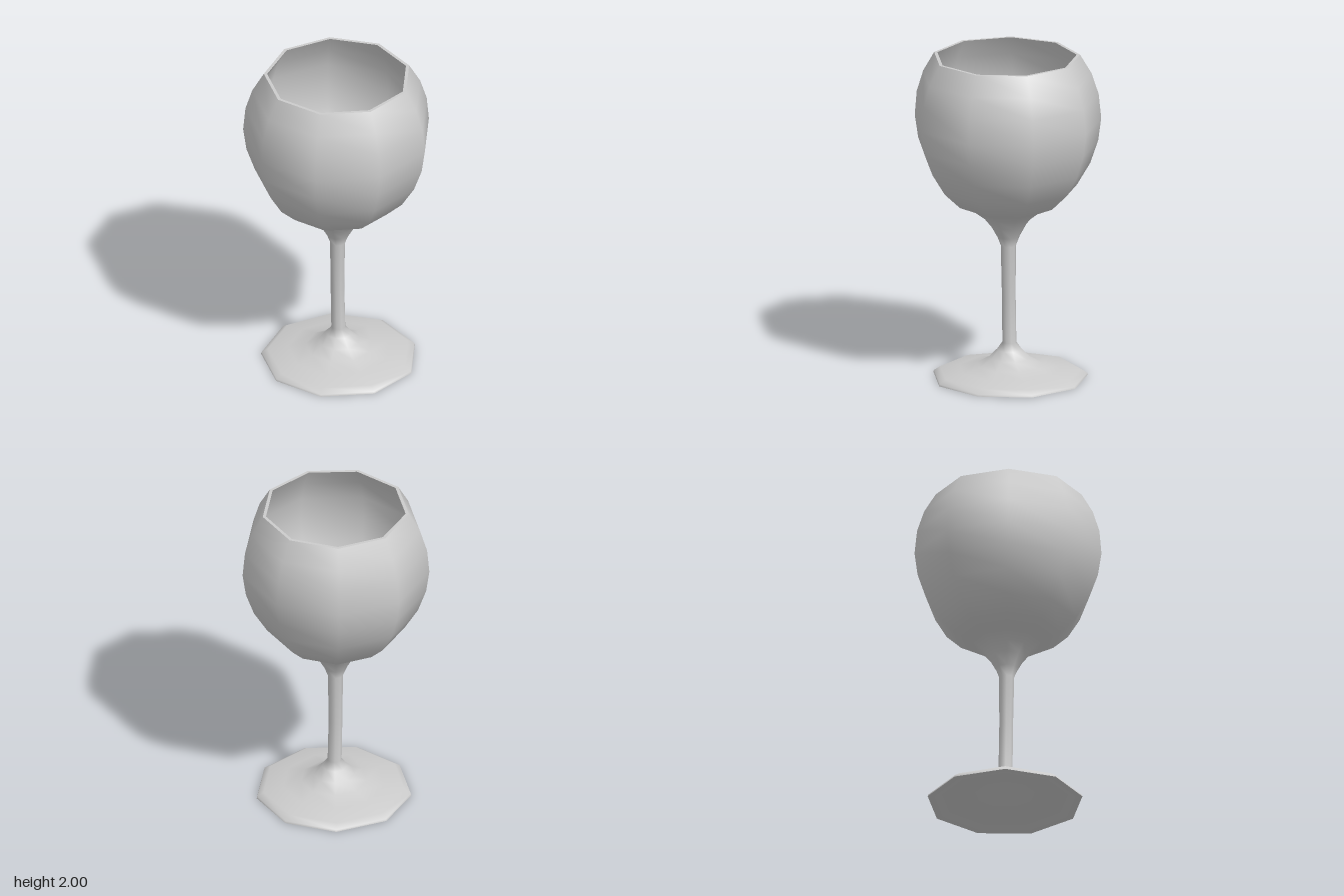
import * as THREE from 'three';

const SIDES = 9;
const material = new THREE.MeshStandardMaterial({ color: 0xcccccc, side: THREE.DoubleSide });

// Nine-sided smooth lathe with a corner at the back, leaning very slightly with height
function turned(name, profile) {
  const points = profile.map(([r, y]) => new THREE.Vector2(r, y));
  const geometry = new THREE.LatheGeometry(points, SIDES, Math.PI);
  const pos = geometry.attributes.position;
  for (let i = 0; i < pos.count; i++) {
    const y = pos.getY(i);
    pos.setX(i, pos.getX(i) + 0.012 * Math.max(0, 1 - y / 0.4));
    pos.setZ(i, pos.getZ(i) + 0.01 * y);
  }
  const mesh = new THREE.Mesh(geometry, material);
  mesh.name = name;
  return mesh;
}

export function createModel() {
  const glass = new THREE.Group();
  glass.name = 'wineGlass';

  // Hollow underside of the foot, from the centre out to the ground ring
  glass.add(turned('footUnderside', [
    [0, 0.11], [0.05, 0.1], [0.12, 0.065], [0.22, 0.045], [0.37, 0.03], [0.415, 0.005], [0.472, 0.003],
  ]));

  // Foot, stem and outer wall of the bowl in one flowing profile
  glass.add(turned('outerSurface', [
    [0.472, 0.003], [0.468, 0.015], [0.43, 0.04], [0.31, 0.06], [0.2, 0.085], [0.125, 0.125],
    [0.075, 0.175], [0.043, 0.22], [0.042, 0.5], [0.046, 0.82], [0.07, 0.88], [0.11, 0.95],
    [0.155, 1.005], [0.215, 1.05], [0.32, 1.095], [0.42, 1.19], [0.5, 1.32], [0.55, 1.46],
    [0.57, 1.6], [0.556, 1.75], [0.515, 1.88], [0.446, 2],
  ]));

  // Thin flat lip
  glass.add(turned('lip', [[0.446, 2], [0.426, 2]]));

  // Inner wall of the bowl, ending in a small well above the stem
  glass.add(turned('innerBowl', [
    [0.426, 2], [0.495, 1.88], [0.536, 1.75], [0.548, 1.6], [0.53, 1.46], [0.48, 1.33],
    [0.4, 1.21], [0.305, 1.12], [0.2, 1.075], [0.14, 1.03], [0.09, 0.975], [0.045, 0.945], [0, 0.94],
  ]));

  return glass;
}
